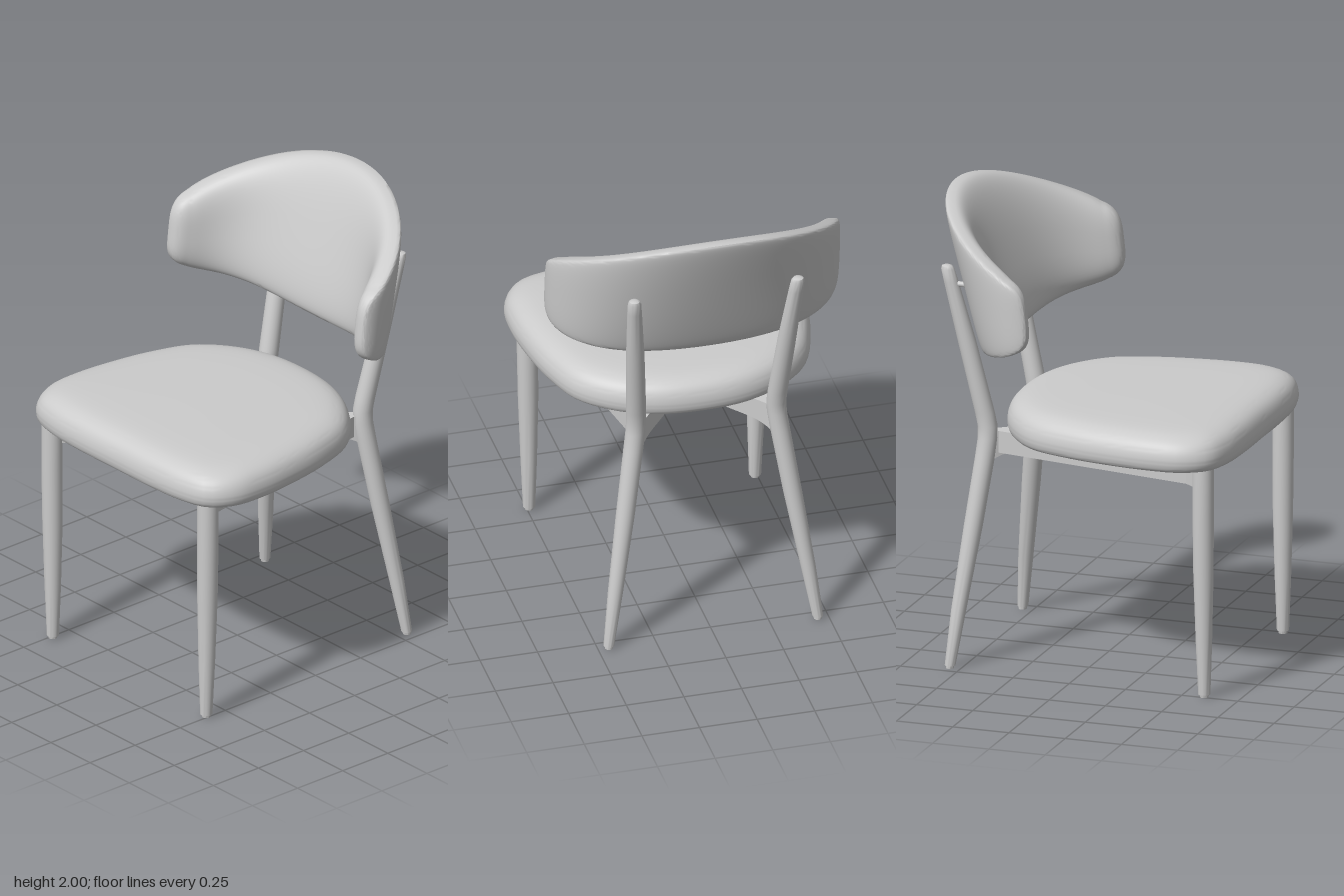
import * as THREE from 'three';
import { toCreasedNormals } from 'three/addons/utils/BufferGeometryUtils.js';

const material = new THREE.MeshStandardMaterial({ color: 0xcccccc });

function addMesh(parent, name, geometry) {
  const mesh = new THREE.Mesh(geometry, material);
  mesh.name = name;
  parent.add(mesh);
  return mesh;
}

// Skin a list of closed rings (arrays of Vector3), with both ends capped.
function loft(rings, crease = 0.8) {
  const centre = (ring) => {
    const c = ring.reduce((sum, p) => sum.add(p), new THREE.Vector3()).divideScalar(ring.length);
    return ring.map(() => c);
  };
  const all = [centre(rings[0]), ...rings, centre(rings[rings.length - 1])];
  const n = rings[0].length;
  const index = [];
  for (let i = 0; i < all.length - 1; i++) {
    for (let j = 0; j < n; j++) {
      const a = i * n + j, b = i * n + (j + 1) % n;
      if (i > 0) index.push(a, a + n, b);
      if (i === 0) index.push(a, a + n, b + n);
      else if (i < all.length - 2) index.push(b, a + n, b + n);
    }
  }
  const geometry = new THREE.BufferGeometry().setFromPoints(all.flat());
  geometry.setIndex(index);
  return toCreasedNormals(geometry, crease);
}

// Round leg: stations are [x, y, z, radius], rising in y.
function legGeometry(stations, sides = 24) {
  return loft(stations.map(([x, y, z, r]) => Array.from({ length: sides }, (_, j) => {
    const a = (j / sides) * Math.PI * 2;
    return new THREE.Vector3(x + r * Math.cos(a), y, z + r * Math.sin(a));
  })));
}

// Flat rail between two plan points; flare deepens the far end with a curve.
function railGeometry([x0, z0], [x1, z1], flare = 0, thickness = 0.045) {
  const length = Math.hypot(x1 - x0, z1 - z0);
  const shape = new THREE.Shape();
  shape.moveTo(0, 0.915);
  shape.lineTo(length - 0.13, 0.915);
  shape.quadraticCurveTo(length - 0.05, 0.915, length, 0.915 - flare);
  shape.lineTo(length, 1.01);
  shape.lineTo(0, 1.01);
  const geometry = new THREE.ExtrudeGeometry(shape, { depth: thickness, bevelEnabled: false });
  geometry.translate(0, 0, -thickness / 2);
  geometry.rotateY(-Math.atan2(z1 - z0, x1 - x0));
  geometry.translate(x0, 0, z0);
  return geometry;
}

// Padded seat: one plan outline scaled along a cushion profile.
function seatGeometry() {
  const half = [[0.2, -0.38], [0.36, -0.31], [0.5, -0.18], [0.57, 0], [0.61, 0.2], [0.628, 0.4],
    [0.615, 0.54], [0.55, 0.64], [0.42, 0.683], [0.22, 0.697]];
  const outline = [[0, -0.402], ...half, [0, 0.697], ...half.map(([x, z]) => [-x, z]).reverse()];
  const curve = new THREE.CatmullRomCurve3(outline.map(([x, z]) => new THREE.Vector3(x, 0, z)), true);
  const plan = curve.getSpacedPoints(96).slice(0, 96);
  const edge = new THREE.SplineCurve([[0.972, 1.004], [0.99, 1.017], [1, 1.05], [0.987, 1.09], [0.953, 1.122],
    [0.895, 1.143], [0.81, 1.155], [0.66, 1.161], [0.4, 1.164], [0.02, 1.165]]
    .map(([s, y]) => new THREE.Vector2(s, y)));
  return loft(edge.getPoints(36).map(({ x: s, y }) => plan.map((p) =>
    new THREE.Vector3(p.x * s, y, 0.15 + (p.z - 0.15) * s))), 0.5);
}

// Wrap-around backrest: a cushion section swept round an arc, leaning back
// strongly in the middle and standing nearly upright at the wing tips.
function backrestGeometry() {
  const R = 0.69, centreZ = -0.01, maxAngle = 75 * Math.PI / 180, steps = 96, sides = 56;
  const power = (v, n) => Math.sign(v) * Math.abs(v) ** n;
  const rings = [];
  for (let i = 0; i <= steps; i++) {
    const s = Math.sin((i / steps - 0.5) * Math.PI * 0.9999);
    const angle = s * maxAngle;
    const end = Math.abs(s);
    const x = Math.min(Math.abs(R * Math.sin(angle)), 0.64);
    const top = 2.0 - 0.45 * x * x - 0.12 * x ** 4;
    const bottom = 1.365 + 0.13 * x * x;
    const lean = 0.36 - 0.6 * x * x;
    const tall = (1 - end ** 9) ** (1 / 3.5);
    const round = (1 - end ** 14) ** 0.5;
    const front = (0.085 + 0.01 * end ** 4) * round;
    const back = 0.03 * round;
    const mid = (top + bottom) / 2, h = (top - bottom) / 2 * tall;
    const ring = [];
    for (let j = 0; j < sides; j++) {
      const b = (j / sides) * Math.PI * 2;
      const c = Math.cos(b);
      const y = mid + h * power(Math.sin(b), 0.7);
      // soft front, nearly flat back
      const inward = 0.03 + 0.02 * end ** 12 + (c > 0 ? front * power(c, 0.6) : back * power(c, 0.35));
      const r = R - inward;
      ring.push(new THREE.Vector3(r * Math.sin(angle), y,
        centreZ - r * Math.cos(angle) + lean * (top - y)));
    }
    rings.push(ring);
  }
  return loft(rings, 0.9);
}

export function createModel() {
  const chair = new THREE.Group();
  chair.name = 'chair';

  addMesh(chair, 'seat', seatGeometry());
  addMesh(chair, 'backrest', backrestGeometry());

  for (const side of [1, -1]) {
    const label = side > 0 ? 'left' : 'right';

    // Tapered front leg with a small foot
    addMesh(chair, `${label}FrontLeg`, legGeometry([
      [0.49, 0, 0.597, 0.018], [0.49, 0.012, 0.597, 0.02], [0.49, 0.013, 0.597, 0.026], [0.492, 0.25, 0.596, 0.035],
      [0.495, 0.55, 0.595, 0.043], [0.498, 0.8, 0.595, 0.045], [0.498, 1.03, 0.595, 0.045],
    ].map(([x, ...rest]) => [x * side, ...rest])));

    // Back leg bends at the seat and runs on up behind the backrest
    addMesh(chair, `${label}BackLeg`, legGeometry([
      [0.453, 0, -0.547, 0.017], [0.453, 0.012, -0.546, 0.018], [0.453, 0.013, -0.546, 0.023],
      [0.418, 0.25, -0.52, 0.032], [0.363, 0.6, -0.476, 0.04], [0.318, 0.9, -0.439, 0.042],
      [0.307, 0.98, -0.431, 0.042], [0.304, 1.03, -0.432, 0.042], [0.307, 1.09, -0.444, 0.042],
      [0.33, 1.4, -0.515, 0.039], [0.35, 1.66, -0.578, 0.031], [0.354, 1.715, -0.592, 0.028],
      [0.355, 1.728, -0.595, 0.022], [0.355, 1.732, -0.596, 0.012],
    ].map(([x, ...rest]) => [x * side, ...rest])));

    // Short pin joining the back leg to the backrest
    const pin = addMesh(chair, `${label}BackrestPin`, new THREE.CylinderGeometry(0.012, 0.012, 0.06, 12));
    pin.position.set(0.348 * side, 1.65, -0.535);
    pin.rotation.x = Math.PI / 2;

    // Crossed frame under the seat, with side rails set between the diagonals
    addMesh(chair, `${label}SideRail`, railGeometry([0.44 * side, 0.52], [0.28 * side, -0.38]));
    addMesh(chair, `${label}DiagonalRail`, railGeometry([0.498 * side, 0.59], [-0.305 * side, -0.425], 0.035));
  }
  addMesh(chair, 'frontRail', railGeometry([-0.4, 0.48], [0.4, 0.48]));

  return chair;
}
